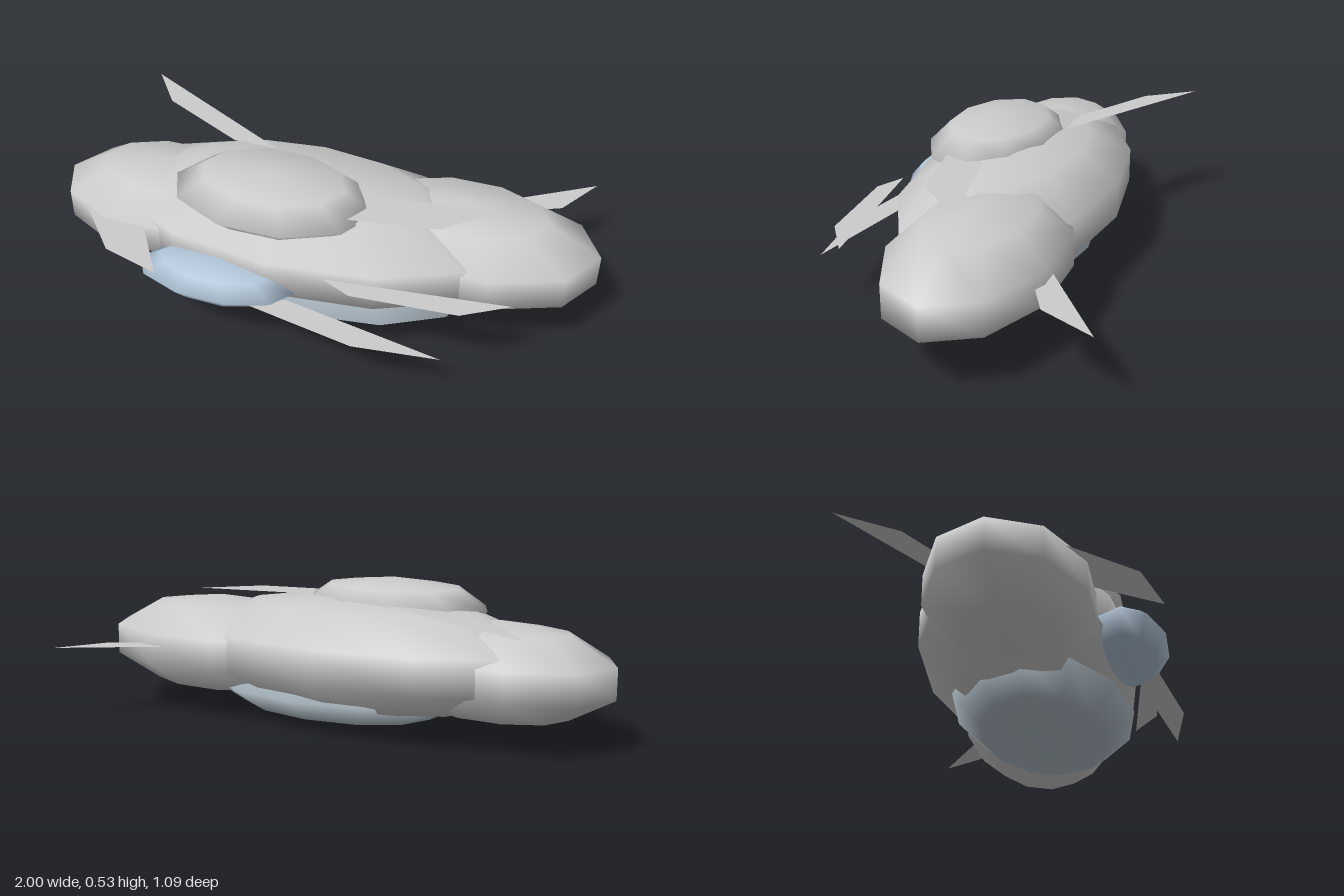
import * as THREE from 'three';

export function createModel() {
  const group = new THREE.Group();
  const grey = new THREE.MeshStandardMaterial({ color: 0xcccccc });
  const blue = new THREE.MeshStandardMaterial({ color: 0xb3c7da });
  const slate = new THREE.MeshStandardMaterial({ color: 0xb2bfc9 });
  const leafMat = new THREE.MeshStandardMaterial({ color: 0xcccccc, side: THREE.DoubleSide });

  // Low-sided, smooth-shaded squashed boulder
  function stone(name, centre, radii, sides, rows, material) {
    const geo = new THREE.SphereGeometry(1, sides, rows);
    geo.scale(...radii);
    const mesh = new THREE.Mesh(geo, material);
    mesh.position.set(...centre);
    mesh.name = name;
    group.add(mesh);
  }

  // Paper-thin horizontal blade: outline of [x, z] corners at one height
  function leaf(name, y, corners) {
    const shape = new THREE.Shape(corners.map(([x, z]) => new THREE.Vector2(x, -z)));
    const geo = new THREE.ShapeGeometry(shape);
    geo.rotateX(-Math.PI / 2);
    const mesh = new THREE.Mesh(geo, leafMat);
    mesh.position.y = y;
    mesh.name = name;
    group.add(mesh);
  }

  // Boulder cluster
  stone('coreStone', [-0.06, 0.265, 0.022], [0.78, 0.21, 0.39], 12, 5, grey);
  stone('rightStone', [-0.59, 0.245, 0.05], [0.43, 0.176, 0.285], 10, 5, grey);
  stone('leftStone', [0.52, 0.255, -0.055], [0.505, 0.185, 0.295], 10, 5, grey);
  stone('topStone', [-0.13, 0.43, 0.13], [0.375, 0.1, 0.245], 10, 4, grey);
  stone('baseStone', [0.06, 0.12, 0.045], [0.55, 0.12, 0.325], 12, 4, slate);
  stone('frontStone', [-0.25, 0.22, 0.38], [0.295, 0.07, 0.142], 10, 4, blue);

  // Blades growing out between the stones
  leaf('backRightLeaf', 0.46, [[-0.87, -0.46], [-0.73, -0.28], [-0.38, -0.1], [-0.21, -0.1]]);
  leaf('backLeftLeaf', 0.27, [[0.92, -0.55], [0.82, -0.36], [0.54, -0.22], [0.5, -0.26]]);
  leaf('upperLeaf', 0.45, [[0.65, -0.02], [0.48, 0.16], [0.14, 0.22], [0.18, 0.07]]);
  leaf('frontLeftLeaf', 0.33, [[0.77, 0.32], [0.62, 0.42], [0.26, 0.45], [0.15, 0.4]]);
  leaf('frontLeaf', 0.2, [[0.59, 0.5], [0.3, 0.54], [-0.15, 0.46], [0.02, 0.4]]);
  leaf('frontRightLeaf', 0.29, [[-0.41, 0.52], [-0.63, 0.46], [-0.82, 0.26], [-0.58, 0.28]]);
  return group;
}
